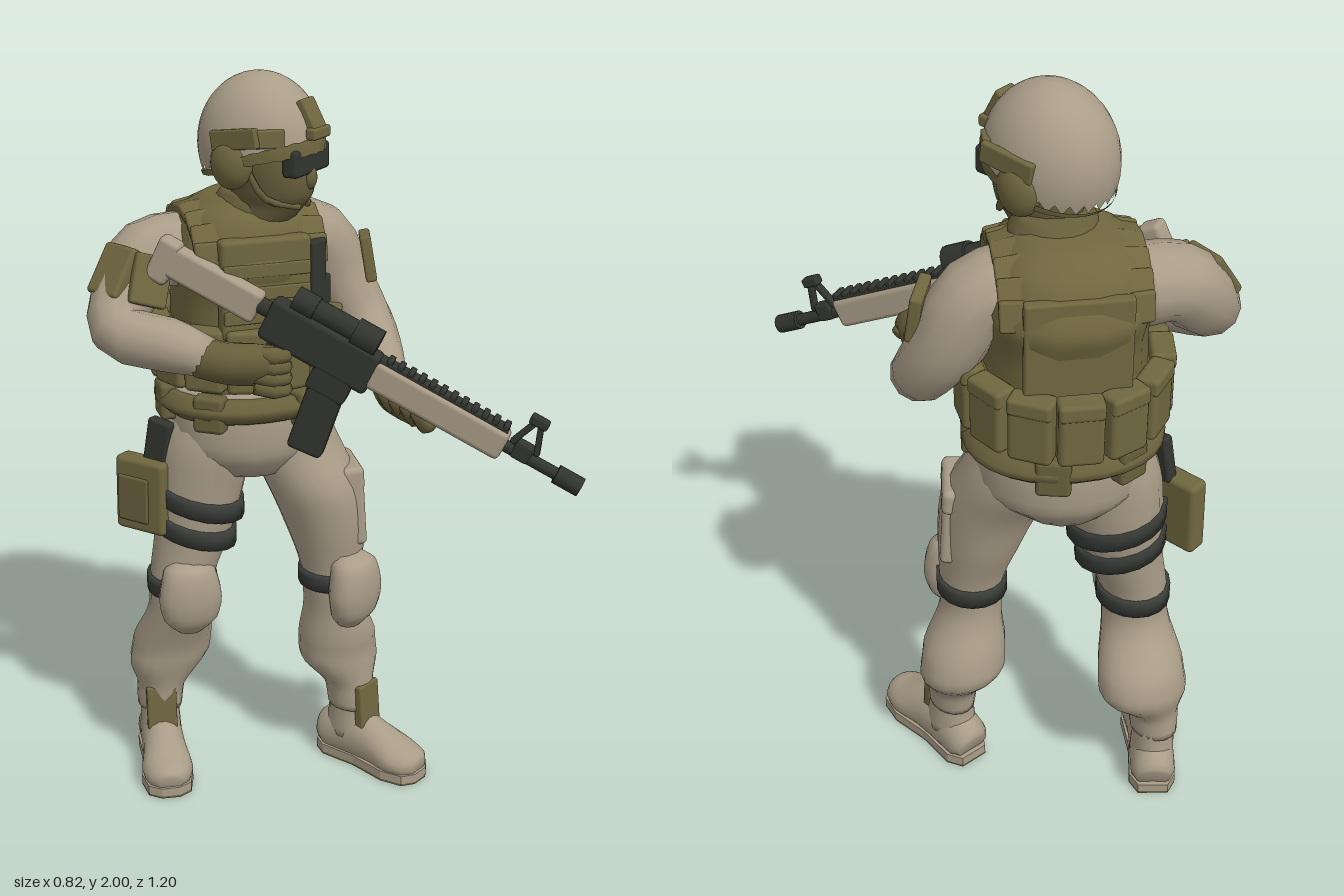
import * as THREE from 'three';
import { RoundedBoxGeometry } from 'three/addons/geometries/RoundedBoxGeometry.js';

const V = (x, y, z) => new THREE.Vector3(x, y, z);
const material = (name, color) => {
  const m = new THREE.MeshStandardMaterial({ color, side: THREE.DoubleSide });
  m.name = name;
  return m;
};

// Skin through rows of [x, y, z, radiusA, radiusB]; level keeps the rings horizontal
function loft(rows, { level = false, ref = [1, 0, 0], sub = 3, seg = 18, p = 1 } = {}) {
  const path = new THREE.CatmullRomCurve3(rows.map(r => V(r[0], r[1], r[2])));
  const radii = new THREE.CatmullRomCurve3(rows.map(r => V(r[3], r[4] ?? r[3], 0)));
  const n = (rows.length - 1) * sub, pos = [], idx = [], R = V(...ref);
  const bend = c => Math.sign(c) * Math.abs(c) ** p;
  for (let i = 0; i <= n; i++) {
    const c = path.getPoint(i / n), r = radii.getPoint(i / n);
    const t = level ? V(0, Math.sign(rows.at(-1)[1] - rows[0][1]), 0) : path.getTangent(i / n);
    const u = R.clone().addScaledVector(t, -R.dot(t)).normalize(), v = t.clone().cross(u);
    for (let j = 0; j < seg; j++) {
      const a = j / seg * Math.PI * 2;
      const q = c.clone().addScaledVector(u, bend(Math.cos(a)) * r.x).addScaledVector(v, bend(Math.sin(a)) * r.y);
      pos.push(q.x, q.y, q.z);
      if (i < n) {
        const A = i * seg + j, B = i * seg + (j + 1) % seg;
        idx.push(A, B, B + seg, A, B + seg, A + seg);
      }
    }
  }
  const first = pos.length / 3;
  pos.push(...rows[0].slice(0, 3), ...rows.at(-1).slice(0, 3));
  for (let j = 0; j < seg; j++) {
    const k = (j + 1) % seg;
    idx.push(first, k, j, first + 1, n * seg + j, n * seg + k);
  }
  const g = new THREE.BufferGeometry();
  g.setAttribute('position', new THREE.Float32BufferAttribute(pos, 3));
  g.setIndex(idx);
  g.computeVertexNormals();
  return g;
}

export function createModel() {
  const tan = material('sand cloth', 0xaa9d88), olive = material('olive gear', 0x70673f);
  const moss = material('dark olive gear', 0x685f3b), dark = material('gunmetal', 0x32352f);
  const strapMat = material('black strap', 0x393d38);
  const root = new THREE.Group();
  const group = (name, x, y, z, yaw = 0) => {
    const g = new THREE.Group();
    g.name = name; g.position.set(x, y, z); g.rotation.y = yaw;
    root.add(g);
    return g;
  };
  const add = (parent, name, geo, mat, pos = [0, 0, 0], rot = [0, 0, 0], scale = [1, 1, 1]) => {
    const m = new THREE.Mesh(geo, mat);
    m.name = name; m.position.set(...pos); m.rotation.set(...rot); m.scale.set(...scale);
    parent.add(m);
    return m;
  };
  const box = (parent, name, size, mat, pos, rot) =>
    add(parent, name, new RoundedBoxGeometry(...size, 2, Math.min(...size) * 0.25), mat, pos, rot);
  const ball = new THREE.SphereGeometry(1, 20, 14);

  // Torso, turned to its right
  const torso = group('torso', 0.04, 0, -0.325, -0.4);
  add(torso, 'pelvis', loft([[0, 1.18, 0, 0.21, 0.18], [0, 1.08, 0, 0.215, 0.19], [0, 1, 0, 0.21, 0.185], [0, 0.93, 0, 0.13, 0.14]], { level: true }), tan);
  add(torso, 'vest', loft([[0, 1.14, 0, 0.19, 0.17], [0, 1.3, 0, 0.195, 0.18], [0, 1.45, -0.005, 0.19, 0.195], [0, 1.57, -0.005, 0.19, 0.195], [0, 1.635, 0, 0.165, 0.165], [0, 1.68, 0.01, 0.09, 0.1]], { level: true, p: 0.8 }), olive);
  const belt = (name, y, h, rx, rz, mat) => add(torso, name, loft([[0, y - h / 2, 0, rx - 0.01, rz - 0.01], [0, y - h * 0.35, 0, rx, rz], [0, y + h * 0.35, 0, rx, rz], [0, y + h / 2, 0, rx - 0.01, rz - 0.01]], { level: true, seg: 28, p: 0.9 }), mat);
  belt('belt', 1.135, 0.065, 0.23, 0.205, moss);
  belt('pouchBelt', 1.28, 0.13, 0.215, 0.195, olive);

  // Pouches set round an ellipse
  const around = (name, a, rx, rz, y, size, mat) =>
    box(torso, name, size, mat, [Math.sin(a) * rx, y, Math.cos(a) * rz], [0, Math.atan2(Math.sin(a) / rx, Math.cos(a) / rz), 0]);
  for (let i = 0; i < 13; i++) {
    const a = (i + 0.5) / 13 * Math.PI * 2, rz = Math.cos(a) < 0 ? 0.232 : 0.208;
    around('vestPouch', a, 0.228, rz, 1.28, [0.108, 0.165, 0.06], olive);
    around('vestPouchFlap', a, 0.231, rz + 0.003, 1.345, [0.109, 0.045, 0.06], olive);
  }
  for (const a of [0.55, 1.0, 1.45, -0.7, -1.6, 2.9, -2.5])
    around('beltPouch', a, 0.22, 0.197, 1.13, [0.085, 0.1, 0.05], moss);
  around('chestHolster', 0.68, 0.22, 0.23, 1.5, [0.065, 0.16, 0.03], dark);
  around('chestHolsterBase', 0.74, 0.22, 0.23, 1.44, [0.09, 0.08, 0.03], dark);
  around('radio', -0.6, 0.2, 0.2, 1.5, [0.1, 0.1, 0.04], olive);
  box(torso, 'frontPlate', [0.24, 0.26, 0.05], olive, [0, 1.47, 0.182]);
  for (const y of [1.4, 1.46, 1.52]) box(torso, 'chestBand', [0.23, 0.035, 0.015], olive, [0, y, 0.206]);
  box(torso, 'backPlate', [0.25, 0.26, 0.03], olive, [0, 1.47, -0.185]);
  for (const s of [-1, 1]) for (let i = 0; i < 8; i++) {
    const a = 0.2 + i * 0.39;
    box(torso, 'shoulderStrap', [0.1, 0.03, 0.075], olive, [s * 0.125, 1.53 + 0.115 * Math.sin(a), 0.165 * Math.cos(a)], [Math.PI / 2 - a, 0, -s * 0.2]);
  }
  add(root, 'collar', loft([[0.04, 1.6, -0.29, 0.13, 0.13], [0.04, 1.66, -0.28, 0.11, 0.11], [0.035, 1.7, -0.27, 0.085, 0.09]], { level: true }), moss);

  // Head, turned to its left
  const head = group('head', 0.03, 0, -0.24, 0.32);
  add(head, 'maskedFace', loft([[0, 1.6, -0.02, 0.075, 0.08], [0, 1.665, 0.02, 0.075, 0.1], [0, 1.7, 0.03, 0.088, 0.115], [0, 1.76, 0.03, 0.1, 0.12], [0, 1.86, 0.01, 0.11, 0.12]], { level: true }), moss);
  add(head, 'nose', ball, moss, [0, 1.745, 0.142], [0, 0, 0], [0.022, 0.032, 0.02]);
  // Helmet shell whose rim rises toward the brow; start sets its upper edge
  const shell = (name, grow, start, end, mat) => {
    const g = new THREE.SphereGeometry(1, 28, 14), p = g.attributes.position, uv = g.attributes.uv;
    for (let i = 0; i < p.count; i++) {
      const phi = uv.getX(i) * Math.PI * 2, front = Math.cos(phi);
      const f = THREE.MathUtils.lerp(start(front), end, 1 - uv.getY(i));
      const th = f * (1.8 - 0.24 * front + 0.03 * Math.cos(2 * phi) * Math.sign(front));
      p.setXYZ(i, Math.sin(phi) * Math.sin(th) * (0.143 + grow), 1.815 + Math.cos(th) * (0.182 + grow), Math.cos(phi) * Math.sin(th) * (0.167 + grow));
    }
    g.computeVertexNormals();
    return add(head, name, g, mat);
  };
  shell('helmet', 0, () => 0, 1, tan);
  shell('helmetRim', 0.004, front => 0.93 - 0.06 * front, 1.01, olive);
  box(head, 'goggles', [0.17, 0.07, 0.045], dark, [0, 1.79, 0.133]);
  box(head, 'helmetMount', [0.06, 0.085, 0.03], olive, [0, 1.9, 0.146], [-0.5, 0, 0]);
  box(head, 'mountClip', [0.08, 0.03, 0.03], olive, [0, 1.86, 0.168]);
  for (const s of [-1, 1]) {
    add(head, 'earCup', ball, olive, [s * 0.122, 1.785, -0.01], [0, 0, 0], [0.038, 0.065, 0.058]);
    box(head, 'helmetRail', [0.02, 0.05, 0.14], olive, [s * 0.138, 1.85, 0.01], [-0.15, s * 0.08, 0]);
    box(head, 'frontRail', [0.018, 0.045, 0.08], olive, [s * 0.114, 1.855, 0.092], [0, -s * 0.75, 0]);
    add(head, 'chinStrap', loft([[s * 0.12, 1.78, 0.03, 0.009], [s * 0.095, 1.7, 0.07, 0.009], [s * 0.02, 1.67, 0.125, 0.009]], { seg: 6, ref: [0, 0, 1] }), moss);
  }

  // Arms and gloves
  const rRef = { ref: [-0.3, 0.61, 0.34], seg: 12 }, lRef = { ref: [-0.38, -0.53, -0.37], seg: 12 };
  add(root, 'rightSleeve', loft([[-0.08, 1.53, -0.41, 0.1], [-0.19, 1.525, -0.435, 0.095], [-0.27, 1.45, -0.425, 0.088], [-0.34, 1.37, -0.37, 0.073], [-0.275, 1.345, -0.25, 0.07], [-0.215, 1.32, -0.155, 0.05]], rRef), tan);
  add(root, 'leftSleeve', loft([[0.14, 1.55, -0.29, 0.1], [0.24, 1.53, -0.265, 0.097], [0.295, 1.42, -0.24, 0.09], [0.33, 1.3, -0.165, 0.076], [0.285, 1.235, -0.06, 0.065], [0.23, 1.2, 0.035, 0.047]], lRef), tan);
  add(root, 'rightGlove', loft([[-0.23, 1.32, -0.18, 0.052], [-0.19, 1.31, -0.12, 0.058, 0.052], [-0.14, 1.305, -0.08, 0.065, 0.05], [-0.09, 1.31, -0.05, 0.045, 0.04]], rRef), moss);
  add(root, 'leftGlove', loft([[0.25, 1.205, 0.01, 0.05], [0.21, 1.19, 0.07, 0.05, 0.045], [0.175, 1.185, 0.14, 0.04, 0.055], [0.165, 1.18, 0.2, 0.035, 0.045], [0.17, 1.17, 0.24, 0.02, 0.03]], lRef), moss);
  for (let i = 0; i < 4; i++) {
    add(root, 'rightFinger', loft([[-0.15, 1.34 - i * 0.03, -0.06, 0.018], [-0.09, 1.33 - i * 0.03, -0.02, 0.018], [-0.05, 1.32 - i * 0.03, -0.05, 0.015]], { seg: 8, ref: [0, 1, 0] }), moss);
    const x = 0.01 * i, z = 0.13 + i * 0.03, y = 1.2 - i * 0.012;
    add(root, 'leftFinger', loft([[0.17 + x, y - 0.02, z, 0.018], [0.13 + x, y - 0.005, z + 0.01, 0.018], [0.1 + x, y + 0.03, z + 0.015, 0.015]], { seg: 8, ref: [0, 0, 1] }), moss);
  }
  box(root, 'rightArmPouch', [0.045, 0.14, 0.11], olive, [-0.31, 1.505, -0.415], [0, 0.1, -0.6]);
  box(root, 'rightArmPouchFront', [0.1, 0.13, 0.03], olive, [-0.26, 1.49, -0.335], [-0.3, -0.2, -0.4]);
  box(root, 'leftArmPatch', [0.115, 0.125, 0.03], olive, [0.342, 1.48, -0.172], [-0.25, 0.85, 0.12]);

  // Legs: rows run hip to ankle
  const legs = {
    left: [[0.1, 1.12, -0.285, 0.115, 0.14], [0.13, 1.01, -0.265, 0.128, 0.15], [0.16, 0.88, -0.195, 0.125, 0.14], [0.185, 0.75, -0.17, 0.105, 0.12], [0.2, 0.62, -0.155, 0.085, 0.09], [0.205, 0.52, -0.155, 0.08, 0.085], [0.235, 0.4, -0.17, 0.112, 0.105], [0.245, 0.33, -0.175, 0.116, 0.105], [0.255, 0.24, -0.14, 0.066, 0.075], [0.255, 0.17, -0.13, 0.058, 0.072]],
    right: [[-0.03, 1.12, -0.36, 0.115, 0.135], [-0.068, 1.01, -0.37, 0.123, 0.14], [-0.085, 0.88, -0.38, 0.12, 0.128], [-0.105, 0.75, -0.385, 0.105, 0.11], [-0.14, 0.62, -0.395, 0.087, 0.095], [-0.145, 0.52, -0.405, 0.087, 0.088], [-0.125, 0.4, -0.47, 0.117, 0.1], [-0.125, 0.33, -0.488, 0.122, 0.098], [-0.157, 0.24, -0.492, 0.066, 0.072], [-0.161, 0.17, -0.497, 0.06, 0.07]]
  };
  // A strap that hugs a leg, tilted up to the outside and back
  const strap = (name, rows, y, h, tilt = 0) => {
    const i = rows.findIndex(r => r[1] <= y), f = (rows[i - 1][1] - y) / (rows[i - 1][1] - rows[i][1]);
    const c = rows[i].map((v, k) => rows[i - 1][k] + (v - rows[i - 1][k]) * f);
    const g = loft([1, -1].map(s => [c[0], y + s * h / 2, c[2], c[3] + 0.008, c[4] + 0.008]), { level: true, sub: 2 });
    const p = g.attributes.position;
    for (let k = 0; k < p.count; k++) p.setY(k, p.getY(k) - tilt * ((p.getX(k) - c[0]) + (p.getZ(k) - c[2])));
    g.computeVertexNormals();
    add(root, name, g, strapMat);
  };
  for (const [side, rows] of Object.entries(legs)) {
    add(root, side + 'Trouser', loft(rows, { level: true, sub: 4 }), tan);
    strap(side + 'KneeStrap', rows, 0.595, 0.05);
  }
  strap('upperThighStrap', legs.right, 0.845, 0.053, 0.18);
  strap('lowerThighStrap', legs.right, 0.76, 0.053, 0.18);
  const pad = (name, x, z, yaw) => {
    const g = group(name, x, 0.575, z, yaw);
    add(g, 'padShell', loft([[0, 0.108, -0.015, 0.04, 0.03], [0, 0.08, 0, 0.072, 0.05], [0, 0, 0.005, 0.088, 0.055], [0, -0.065, 0, 0.075, 0.048], [0, -0.108, -0.015, 0.035, 0.03]], { level: true, p: 0.9 }), tan);
  };
  pad('leftKneePad', 0.198, -0.06, 0.12);
  pad('rightKneePad', -0.17, -0.325, -0.4);
  box(root, 'cargoPocket', [0.06, 0.22, 0.165], tan, [0.24, 0.815, -0.13], [0, -0.5, 0.06]);
  box(root, 'cargoFlap', [0.066, 0.07, 0.17], tan, [0.236, 0.9, -0.135], [0, -0.5, 0.06]);
  box(root, 'thighHolster', [0.06, 0.21, 0.16], olive, [-0.222, 0.86, -0.445], [0, 0.3, -0.03]);
  box(root, 'holsterPouch', [0.03, 0.13, 0.1], moss, [-0.248, 0.85, -0.455], [0, 0.3, -0.03]);
  box(root, 'sidearmGrip', [0.035, 0.13, 0.075], dark, [-0.19, 1.01, -0.415], [0.15, 0.25, -0.1]);

  // Boots
  const half = [[0.04, -0.17], [0.062, -0.13], [0.058, -0.02], [0.073, 0.09], [0.06, 0.155], [0.025, 0.178]];
  const outline = new THREE.Shape([...half, ...half.map(([x, y]) => [-x, y]).reverse()].map(q => new THREE.Vector2(...q)));
  const slab = depth => new THREE.ExtrudeGeometry(outline, { depth, bevelEnabled: false });
  const boot = (name, x, z, yaw) => {
    const g = group(name, x, 0, z, yaw);
    const upper = loft([[0, 0.05, -0.165, 0.045, 0.04], [0, 0.06, -0.14, 0.06, 0.07], [0, 0.07, -0.06, 0.06, 0.085], [0, 0.065, 0.02, 0.062, 0.07], [0, 0.05, 0.1, 0.072, 0.052], [0, 0.045, 0.15, 0.058, 0.042], [0, 0.04, 0.172, 0.03, 0.025]]);
    const p = upper.attributes.position;
    for (let i = 0; i < p.count; i++) p.setY(i, Math.max(p.getY(i), 0.015));
    upper.computeVertexNormals();
    add(g, 'bootUpper', upper, tan);
    add(g, 'bootShaft', loft([[0, 0.22, -0.075, 0.054, 0.064], [0, 0.15, -0.075, 0.056, 0.068], [0, 0.08, -0.07, 0.06, 0.085]], { level: true }), tan);
    add(g, 'sole', slab(0.025), tan, [0, 0.031, 0], [Math.PI / 2, 0, 0]);
    add(g, 'tread', slab(0.006), moss, [0, 0.006, 0], [Math.PI / 2, 0, 0]);
    box(g, 'bootTongue', [0.085, 0.14, 0.03], olive, [0, 0.18, -0.018], [-0.08, 0, 0]);
  };
  boot('leftBoot', 0.268, -0.055, 0.16);
  boot('rightBoot', -0.2, -0.432, -0.54);

  // Rifle: local +z runs to the muzzle, which sits at the origin
  const rifle = group('rifle', 0.37, 1.035, 0.58);
  const axis = V(0.5, -0.435, 0.745).normalize(), side = V(0, 1, 0).cross(axis).normalize();
  rifle.quaternion.setFromRotationMatrix(new THREE.Matrix4().makeBasis(side, axis.clone().cross(side), axis));
  const rod = (name, r, z0, z1, mat, y = 0) =>
    add(rifle, name, new THREE.CylinderGeometry(r, r, Math.abs(z1 - z0), 14), mat, [0, y, (z0 + z1) / 2], [Math.PI / 2, 0, 0]);
  rod('muzzleBrake', 0.025, -0.07, 0, dark);
  rod('barrel', 0.016, -0.3, -0.05, dark);
  box(rifle, 'frontSightBase', [0.035, 0.05, 0.05], dark, [0, 0.01, -0.17]);
  for (const s of [-1, 1]) box(rifle, 'frontSightLeg', [0.02, 0.09, 0.015], dark, [0, 0.06, -0.17 + s * 0.02], [-s * 0.35, 0, 0]);
  box(rifle, 'frontSightTop', [0.03, 0.025, 0.05], dark, [0, 0.1, -0.17]);
  box(rifle, 'handguard', [0.058, 0.08, 0.38], tan, [0, 0, -0.405]);
  box(rifle, 'topRail', [0.042, 0.012, 0.37], dark, [0, 0.042, -0.41]);
  for (let i = 0; i < 12; i++) box(rifle, 'railTooth', [0.044, 0.014, 0.016], dark, [0, 0.05, -0.235 - i * 0.03]);
  box(rifle, 'receiver', [0.058, 0.115, 0.31], dark, [0, -0.005, -0.74]);
  box(rifle, 'magazineWell', [0.055, 0.09, 0.11], dark, [0, -0.075, -0.675]);
  box(rifle, 'magazine', [0.052, 0.2, 0.095], dark, [0, -0.185, -0.665], [-0.12, 0, 0]);
  box(rifle, 'pistolGrip', [0.042, 0.13, 0.05], dark, [0, -0.11, -0.85], [0.3, 0, 0]);
  box(rifle, 'scopeMount', [0.035, 0.05, 0.13], dark, [0, 0.05, -0.73]);
  rod('scopeTube', 0.028, -0.82, -0.64, dark, 0.073);
  rod('scopeLens', 0.036, -0.68, -0.61, dark, 0.073);
  rod('scopeEyepiece', 0.032, -0.85, -0.79, dark, 0.073);
  rod('bufferTube', 0.022, -1.0, -0.88, dark, 0.01);
  box(rifle, 'stock', [0.05, 0.085, 0.27], tan, [0, 0, -1.055]);
  box(rifle, 'stockButt', [0.054, 0.12, 0.06], tan, [0, -0.01, -1.19]);
  return root;
}
